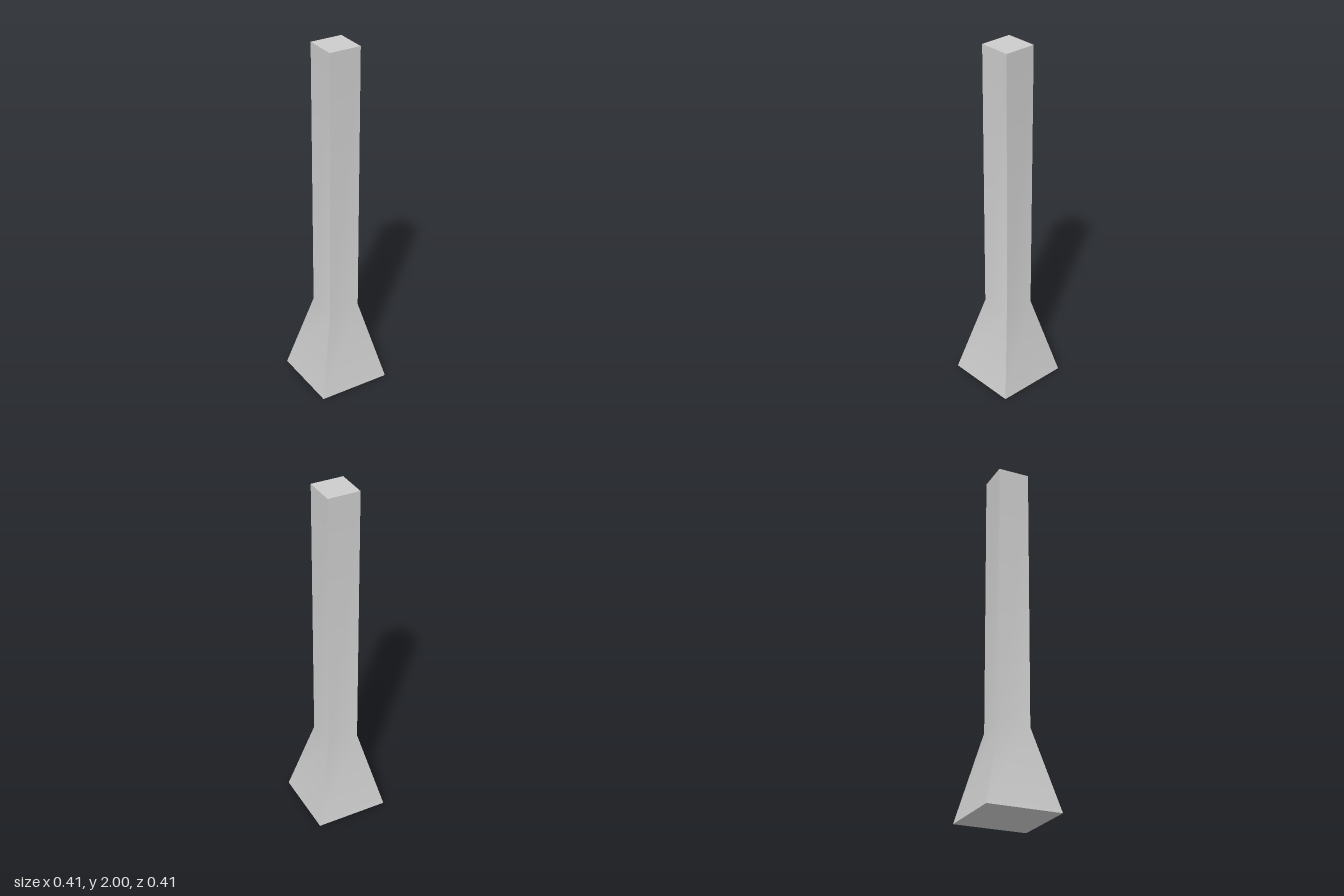
import * as THREE from 'three';
import { toCreasedNormals } from 'three/addons/utils/BufferGeometryUtils.js';

const HEIGHT = 2;
const FLARE_TOP = 0.47;
const SHAFT_HALF = 0.09;
const BASE_HALF = 0.207;

export function createModel() {
  const group = new THREE.Group();
  group.name = 'flaredPost';

  // Square post: the middle ring of the box drops to the top of the flare, the bottom ring widens
  const geometry = new THREE.BoxGeometry(2, 2, 2, 1, 2, 1);
  const position = geometry.attributes.position;
  for (let i = 0; i < position.count; i++) {
    const level = Math.round(position.getY(i)); // -1 base, 0 top of flare, 1 top
    const half = level < 0 ? BASE_HALF : SHAFT_HALF;
    const y = [0, FLARE_TOP, HEIGHT][level + 1];
    position.setXYZ(i, position.getX(i) * half, y, position.getZ(i) * half);
  }

  // Soft fold between shaft and flare, sharp corners elsewhere
  const post = new THREE.Mesh(
    toCreasedNormals(geometry, Math.PI / 6),
    new THREE.MeshStandardMaterial({ color: 0xcccccc })
  );
  post.name = 'post';
  group.add(post);
  return group;
}
